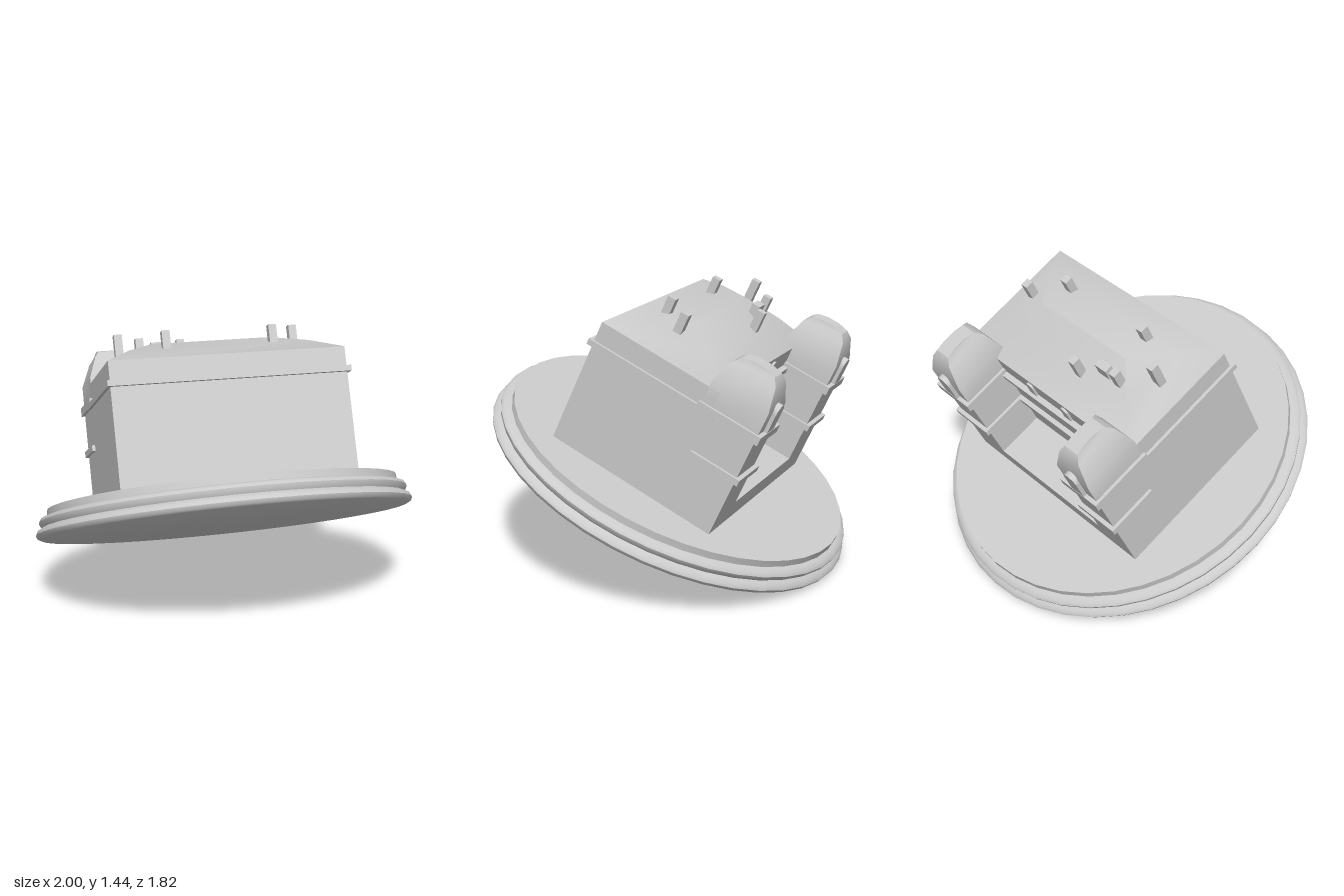
import * as THREE from 'three';
import { mergeVertices, toCreasedNormals } from 'three/addons/utils/BufferGeometryUtils.js';

const material = new THREE.MeshStandardMaterial({ color: 0xcccccc });

function add(parent, name, geometry) {
  const mesh = new THREE.Mesh(geometry, material);
  mesh.name = name;
  parent.add(mesh);
  return mesh;
}

// Box given by its limits on each axis
function box(parent, name, [x0, x1], [y0, y1], [z0, z1]) {
  const mesh = add(parent, name, new THREE.BoxGeometry(x1 - x0, y1 - y0, z1 - z0));
  mesh.position.set((x0 + x1) / 2, (y0 + y1) / 2, (z0 + z1) / 2);
  return mesh;
}

// Skin over rectangular rings [halfX, halfZ, y], closed at the top
function loft(rings) {
  const corners = [[-1, -1], [-1, 1], [1, 1], [1, -1]];
  const points = rings.map(([hx, hz, y]) => corners.map(([a, b]) => [a * hx, y, b * hz]));
  const positions = [];
  const quad = (a, b, c, d) => positions.push(...a, ...b, ...c, ...a, ...c, ...d);
  for (let r = 0; r < rings.length - 1; r++) {
    for (let i = 0; i < 4; i++) {
      const j = (i + 1) % 4;
      quad(points[r][i], points[r][j], points[r + 1][j], points[r + 1][i]);
    }
  }
  quad(...points[rings.length - 1]);
  const geometry = new THREE.BufferGeometry();
  geometry.setAttribute('position', new THREE.Float32BufferAttribute(positions, 3));
  return geometry;
}

// Thin round-headed slab standing on y, facing -z
function archSlab(parent, name, x, y, z, width, height, depth) {
  const r = width / 2;
  const shape = new THREE.Shape();
  shape.moveTo(-r, 0);
  shape.lineTo(r, 0);
  shape.lineTo(r, height - r);
  shape.absarc(0, height - r, r, 0, Math.PI, false);
  shape.closePath();
  const geometry = new THREE.ExtrudeGeometry(shape, { depth, bevelEnabled: false, curveSegments: 8 });
  add(parent, name, geometry).position.set(x, y, z);
}

export function createModel() {
  const model = new THREE.Group();
  model.name = 'buildingOnDisc';

  // Everything is built upright, then tipped backwards
  const tilted = new THREE.Group();
  tilted.name = 'tiltedBuilding';
  tilted.rotation.x = THREE.MathUtils.degToRad(-25);
  tilted.position.set(0, 0.422, 0.012);
  model.add(tilted);

  // Moulded round base
  const profile = [
    [0, 0], [0.975, 0], [0.992, 0.008], [1, 0.026], [0.992, 0.044], [0.975, 0.052],
    [0.962, 0.06], [0.974, 0.076], [0.978, 0.092], [0.968, 0.108], [0.945, 0.115],
    [0.93, 0.118], [0.93, 0.155], [0, 0.155],
  ].map(([x, y]) => new THREE.Vector2(x, y));
  add(tilted, 'base', toCreasedNormals(new THREE.LatheGeometry(profile, 40), 0.75));

  // Main block, with cornice and a band across the back wall
  box(tilted, 'mainBlock', [-0.62, 0.62], [0.15, 0.823], [-0.21, 0.466]);
  box(tilted, 'cornice', [-0.637, 0.637], [0.69, 0.72], [-0.24, 0.49]);
  box(tilted, 'backBand', [-0.39, 0.39], [0.462, 0.494], [-0.235, -0.2]);
  box(tilted, 'terrace', [-0.4, 0.4], [0.15, 0.265], [-0.465, -0.2]);

  // Softly shaded hipped roof
  const roofGeometry = mergeVertices(loft([
    [0.62, 0.338, 0], [0.48, 0.18, 0.075], [0.32, 0.002, 0.138],
  ]));
  roofGeometry.computeVertexNormals();
  add(tilted, 'roof', roofGeometry).position.set(0, 0.823, 0.128);

  // Round-headed windows high on the back wall
  for (const x of [-0.135, 0.135]) {
    archSlab(tilted, 'backWindow', x, 0.72, -0.222, 0.05, 0.085, 0.03);
  }

  // Two rear towers with bands, domed caps and arched niches
  const capGeometry = toCreasedNormals(loft([
    [0.115, 0.157, 0.73], [0.115, 0.157, 0.855], [0.07, 0.122, 0.972],
    [0.047, 0.092, 1.004], [0.044, 0.035, 1.018],
  ]), 0.55);
  for (const side of [-1, 1]) {
    const tower = new THREE.Group();
    tower.name = side > 0 ? 'leftTower' : 'rightTower';
    tower.position.x = side * 0.505;
    tilted.add(tower);
    box(tower, 'towerWall', [-0.115, 0.115], [0.15, 0.74], [-0.465, -0.15]);
    box(tower, 'towerBand', [-0.132, 0.132], [0.462, 0.494], [-0.487, -0.208]);
    box(tower, 'towerCornice', [-0.132, 0.132], [0.695, 0.74], [-0.487, -0.138]);
    add(tower, 'towerCap', capGeometry).position.z = -0.308;
    archSlab(tower, 'niche', 0, 0.74, -0.485, 0.09, 0.145, 0.06);
  }

  // Chimneys: x, z, top height, width
  const chimneys = [
    [-0.28, 0.293, 0.992, 0.042], [0.29, 0.293, 0.992, 0.042],
    [-0.505, 0.153, 1.012, 0.042], [0.44, 0.153, 1.012, 0.042],
    [-0.37, 0.025, 1.012, 0.042], [-0.27, 0.03, 0.985, 0.08],
    [-0.135, -0.038, 1.008, 0.04],
  ];
  for (const [x, z, top, width] of chimneys) {
    box(tilted, 'chimney', [x - width / 2, x + width / 2], [0.84, top], [z - 0.022, z + 0.022]);
  }
  return model;
}
